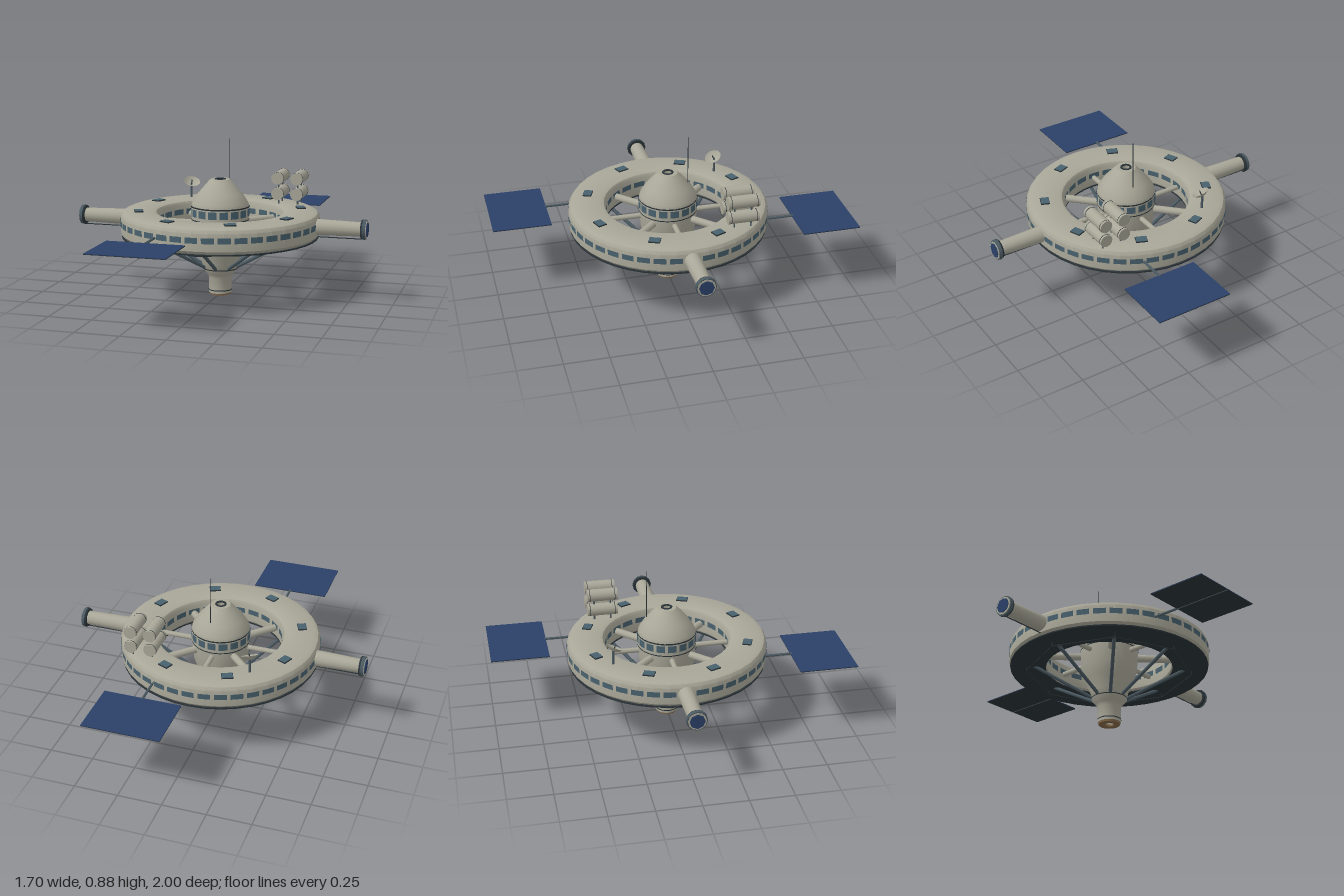
import * as THREE from 'three';
import { toCreasedNormals } from 'three/addons/utils/BufferGeometryUtils.js';

const mat = (name, color, side = THREE.FrontSide) =>
  Object.assign(new THREE.MeshStandardMaterial({ color, side }), { name });

export function createModel() {
  const root = new THREE.Group();
  root.name = 'spaceStation';
  const hull = mat('hullGrey', 0xa9a798);
  const dark = mat('darkTrim', 0x2a3338);
  const steel = mat('strutSteel', 0x4b5a62);
  const glass = mat('windowBlue', 0x48616e, THREE.DoubleSide);
  const solar = mat('solarBlue', 0x2b4068);
  const copper = mat('nozzleCopper', 0x86694a);
  const dishGrey = mat('dishGrey', 0xa9a798, THREE.DoubleSide);

  const add = (name, geo, material, parent = root) => {
    const m = new THREE.Mesh(geo, material);
    m.name = name;
    parent.add(m);
    return m;
  };
  const group = (name) => {
    const g = new THREE.Group();
    g.name = name;
    root.add(g);
    return g;
  };
  const lathe = (pts, seg) => toCreasedNormals(
    new THREE.LatheGeometry(pts.map(([r, y]) => new THREE.Vector2(r, y)), seg), 0.6);
  const V = (x, y, z) => new THREE.Vector3(x, y, z);
  const polar = (r, y, a) => V(r * Math.sin(a), y, r * Math.cos(a));
  // cylinder between two points
  const rod = (name, a, b, r, material, parent = root, r2 = r, seg = 8) => {
    const m = add(name, new THREE.CylinderGeometry(r2, r, a.distanceTo(b), seg), material, parent);
    m.position.copy(a).add(b).multiplyScalar(0.5);
    m.quaternion.setFromUnitVectors(V(0, 1, 0), b.clone().sub(a).normalize());
    return m;
  };
  // row of thin curved windows round the vertical axis
  const windows = (name, r, y, h, count, fill) => {
    const g = group(name);
    const step = Math.PI * 2 / count;
    for (let i = 0; i < count; i++) {
      add('window', new THREE.CylinderGeometry(r, r, h, 2, 1, true,
        (i - fill / 2) * step, step * fill), glass, g).position.y = y;
    }
  };
  const band = (name, r, y, h, seg = 24) =>
    add(name, new THREE.CylinderGeometry(r, r, h, seg, 1, true), dark).position.y = y;

  // habitat ring
  add('habitatRing', lathe([[0.365, 0.347], [0.55, 0.347], [0.567, 0.365], [0.567, 0.462],
    [0.555, 0.48], [0.53, 0.49], [0.385, 0.49], [0.365, 0.482], [0.355, 0.465],
    [0.355, 0.36], [0.365, 0.347]], 40), hull);
  add('ringUnderside', lathe([[0.36, 0.341], [0.562, 0.341], [0.562, 0.348], [0.36, 0.348],
    [0.36, 0.341]], 40), dark);
  windows('outerRingWindows', 0.57, 0.425, 0.032, 40, 0.78);
  windows('innerRingWindows', 0.352, 0.425, 0.032, 24, 0.75);

  // roof hatches
  const hatches = group('roofHatches');
  for (let i = 0; i < 8; i++) {
    const a = (i + 0.5) * Math.PI / 4;
    const frame = add('hatchFrame', new THREE.BoxGeometry(0.064, 0.008, 0.05), dark, hatches);
    frame.position.copy(polar(0.465, 0.492, a));
    frame.rotation.y = a;
    const pane = add('hatchPane', new THREE.BoxGeometry(0.06, 0.006, 0.046), glass, hatches);
    pane.position.copy(polar(0.465, 0.495, a));
    pane.rotation.y = a;
  }

  // hollow central hub
  add('hub', lathe([[0.025, 0.01], [0.065, 0.01], [0.065, 0.1], [0.075, 0.12], [0.1, 0.15],
    [0.106, 0.19], [0.138, 0.26], [0.157, 0.33], [0.165, 0.42], [0.165, 0.515], [0.16, 0.534],
    [0.128, 0.585], [0.085, 0.635], [0.07, 0.652], [0.055, 0.667], [0.026, 0.667],
    [0.025, 0.01]], 24), hull);
  add('nozzleRim', lathe([[0.025, 0], [0.06, 0], [0.062, 0.011], [0.025, 0.011], [0.025, 0]], 24), copper);
  add('topPort', lathe([[0.022, 0.664], [0.034, 0.664], [0.032, 0.67], [0.022, 0.67], [0.022, 0.664]], 12), dark);
  windows('hubWindows', 0.168, 0.482, 0.042, 16, 0.75);
  band('upperHubBand', 0.168, 0.514, 0.008);
  band('middleHubBand', 0.167, 0.44, 0.006);
  band('lowerHubBand', 0.102, 0.153, 0.006);
  band('nozzleBand', 0.067, 0.027, 0.006);

  // spokes, underside struts and octagonal pipe
  const frame = group('framework');
  for (let i = 0; i < 8; i++) {
    const a = i * Math.PI / 4;
    rod('spoke', polar(0.15, 0.41, a), polar(0.37, 0.41, a), i % 2 ? 0.021 : 0.015, hull, frame, undefined, 10);
    rod('strut', polar(0.095, 0.16, a), polar(0.425, 0.345, a), 0.01, steel, frame);
    rod('octagonPipe', polar(0.47, 0.317, a), polar(0.47, 0.317, a + Math.PI / 4), 0.003, dark, frame, undefined, 6);
    rod('pipeHanger', polar(0.47, 0.317, a), polar(0.47, 0.345, a), 0.003, dark, frame, undefined, 6);
  }

  // docking arms and solar wings, one of each per side
  for (const s of [1, -1]) {
    const arm = group(s > 0 ? 'leftDockingArm' : 'rightDockingArm');
    const p = (x, y = 0.42, z = 0) => V(s * x, y, z);
    rod('armTube', p(0.55), p(0.83), 0.047, hull, arm, 0.04, 16);
    rod('armCollar', p(0.815), p(0.825), 0.053, dark, arm, 0.058, 12);
    rod('armEnd', p(0.825), p(0.843), 0.058, steel, arm, 0.056, 12);
    rod('armEndFace', p(0.84), p(0.846), 0.05, hull, arm, undefined, 12);
    rod('dockingHatch', p(0.842), p(0.85), 0.042, solar, arm, undefined, 8);
    rod('armPipe', p(0.55, 0.365), p(0.835, 0.365), 0.003, dark, arm, undefined, 6);
    rod('pipeBracket', p(0.835, 0.365), p(0.835, 0.4), 0.003, dark, arm, undefined, 6);

    const wing = group(s > 0 ? 'frontSolarWing' : 'backSolarWing');
    rod('boom', V(-0.22 * s, 0.417, 0.5 * s), V(-0.22 * s, 0.417, 0.68 * s), 0.007, steel, wing);
    add('solarPanel', new THREE.BoxGeometry(0.44, 0.003, 0.33), solar, wing)
      .position.set(-0.22 * s, 0.419, 0.835 * s);
    add('panelBack', new THREE.BoxGeometry(0.44, 0.003, 0.33), dark, wing)
      .position.set(-0.22 * s, 0.416, 0.835 * s);
    rod('panelSpar', V(-0.22 * s, 0.414, 0.67 * s), V(-0.22 * s, 0.414, s), 0.003, steel, wing, undefined, 6);
  }

  // stacked storage tanks on posts
  const tanks = group('storageTanks');
  for (const x of [0.275, 0.388]) {
    for (const y of [0.552, 0.643]) {
      rod('tank', V(x, y, -0.24), V(x, y, -0.415), 0.036, hull, tanks, undefined, 16);
      for (const z of [-0.255, -0.4]) {
        rod('tankBand', V(x, y, z), V(x, y, z - 0.003), 0.0368, dark, tanks, undefined, 16);
      }
    }
    for (const z of [-0.28, -0.375]) {
      rod('tankPost', V(x, 0.485, z), V(x, 0.64, z), 0.005, steel, tanks);
    }
  }

  // dish antenna, tilted up and forward
  const dish = group('dishAntenna');
  rod('dishPost', V(-0.28, 0.485, -0.35), V(-0.28, 0.575, -0.35), 0.007, steel, dish);
  const head = new THREE.Group();
  head.name = 'dishHead';
  head.position.set(-0.28, 0.567, -0.35);
  head.quaternion.setFromUnitVectors(V(0, 1, 0), V(0.25, 0.85, 0.4).normalize());
  dish.add(head);
  add('dishBowl', lathe([[0.004, 0], [0.028, 0.007], [0.05, 0.025]], 12), dishGrey, head);
  rod('dishFeed', V(0, 0, 0), V(0, 0.035, 0), 0.003, dark, head, undefined, 6);

  // whip antenna
  rod('whipAntenna', V(0.025, 0.6, -0.11), V(0.025, 0.885, -0.11), 0.0025, dark, root, 0.0015, 6);
  return root;
}
